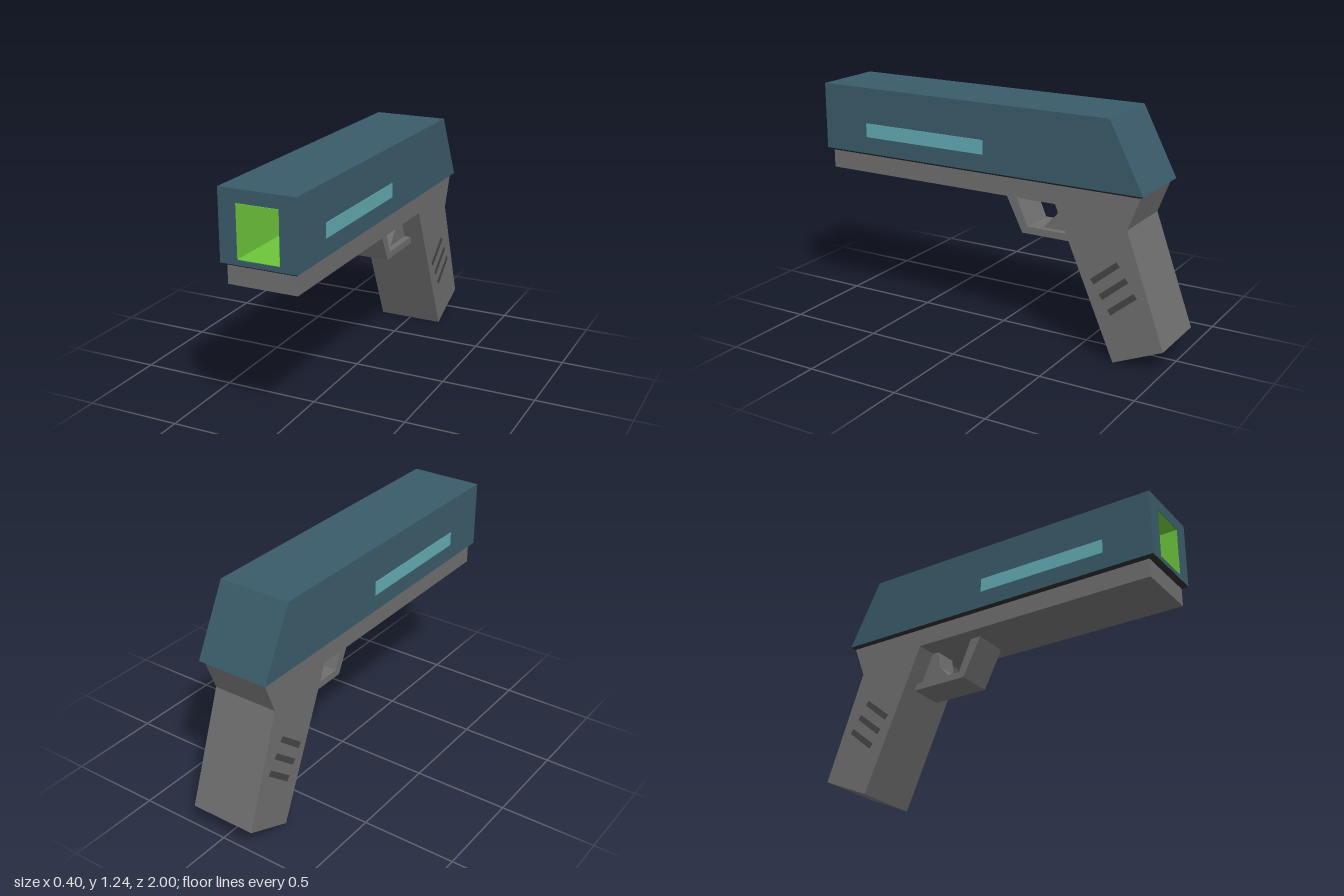
import * as THREE from 'three';

const material = (color, extra = {}) => new THREE.MeshStandardMaterial({ color, flatShading: true, ...extra });

// Closed 2D outline from a list of points
const outline = (points) => new THREE.Shape(points.map(([a, b]) => new THREE.Vector2(a, b)));

// Side profile given as [z, y], extruded across x and centred on the given x
function sidePart(name, points, width, mat, x = 0) {
  const geometry = new THREE.ExtrudeGeometry(outline(points), { depth: width, bevelEnabled: false });
  geometry.translate(0, 0, -width / 2).rotateY(-Math.PI / 2).translate(x, 0, 0);
  const mesh = new THREE.Mesh(geometry, mat);
  mesh.name = name;
  return mesh;
}

export function createModel() {
  const model = new THREE.Group();
  model.name = 'pistol';

  const teal = material(0x3a5b69);
  const grey = material(0x6e6e6e);
  const dark = material(0x454545);
  const black = material(0x2a2a2a);
  const cyan = material(0x62abb2);
  const green = material(0x6cc43a, { side: THREE.DoubleSide });

  const half = 0.198, bottom = 0.88, top = 1.235, boreEnd = 0.4;
  const boreHalf = 0.11, boreBottom = 0.905, boreTop = 1.17;

  // Slide: solid sloped rear and a hollow front sleeve
  const slide = new THREE.Group();
  slide.name = 'slide';
  slide.add(sidePart('slideRear',
    [[boreEnd, bottom], [boreEnd, top], [-0.69, top], [-0.875, bottom]], half * 2, teal));
  const face = outline([[-half, bottom], [half, bottom], [half, top], [-half, top]]);
  face.holes.push(outline([[-boreHalf, boreBottom], [-boreHalf, boreTop], [boreHalf, boreTop], [boreHalf, boreBottom]]));
  const sleeve = new THREE.Mesh(
    new THREE.ExtrudeGeometry(face, { depth: 1 - boreEnd, bevelEnabled: false }), teal);
  sleeve.name = 'slideFront';
  sleeve.position.z = boreEnd;
  slide.add(sleeve);
  model.add(slide);

  // Bore lining: a box without its front face, just inside the sleeve
  const liner = new THREE.BoxGeometry(boreHalf * 2 - 0.004, boreTop - boreBottom - 0.004, 0.59);
  liner.setIndex(Array.from(liner.index.array).filter((_, i) => i < 24 || i >= 30));
  const bore = new THREE.Mesh(liner, green);
  bore.name = 'muzzleBore';
  bore.position.set(0, (boreTop + boreBottom) / 2, 0.704);
  model.add(bore);

  // Dark tapered lip under the slide
  const lipGeometry = new THREE.BoxGeometry(half * 2, 0.012, 1.875);
  const p = lipGeometry.attributes.position;
  for (let i = 0; i < p.count; i++) {
    if (p.getY(i) < 0) {
      p.setX(i, p.getX(i) * 0.92);
      p.setZ(i, p.getZ(i) - Math.sign(p.getZ(i)) * 0.02);
    }
  }
  const lip = new THREE.Mesh(lipGeometry, black);
  lip.name = 'slideLip';
  lip.position.set(0, 0.874, 0.0625);
  model.add(lip);

  // Frame and grip in one profile
  model.add(sidePart('frameAndGrip', [
    [0.97, 0.77], [0.97, 0.87], [-0.855, 0.87], [-0.79, 0.7],
    [-1, 0.115], [-0.735, 0], [-0.4, 0.77],
  ], 0.36, grey));

  // Trigger guard and trigger
  model.add(sidePart('triggerGuard', [
    [-0.065, 0.77], [-0.125, 0.77], [-0.2, 0.597], [-0.478, 0.597], [-0.494, 0.56], [-0.17, 0.56],
  ], 0.2, grey));
  model.add(sidePart('trigger', [
    [-0.365, 0.77], [-0.352, 0.68], [-0.275, 0.597], [-0.478, 0.597], [-0.402, 0.77],
  ], 0.13, grey));

  // Light strips and slanted grip grooves on both sides
  for (const side of [-1, 1]) {
    const label = side > 0 ? 'left' : 'right';
    model.add(sidePart(label + 'LightStrip',
      [[0.73, 0.97], [0.73, 1.045], [0.005, 1.045], [0.005, 0.97]], 0.01, cyan, side * 0.196));
    for (let i = 0; i < 3; i++) {
      const dz = -0.048 * i, dy = -0.072 * i;
      const groove = [[-0.602, 0.418], [-0.739, 0.53], [-0.758, 0.507], [-0.622, 0.393]];
      model.add(sidePart(label + 'GripGroove' + (i + 1),
        groove.map(([z, y]) => [z + dz, y + dy]), 0.01, dark, side * 0.177));
    }
  }
  return model;
}
